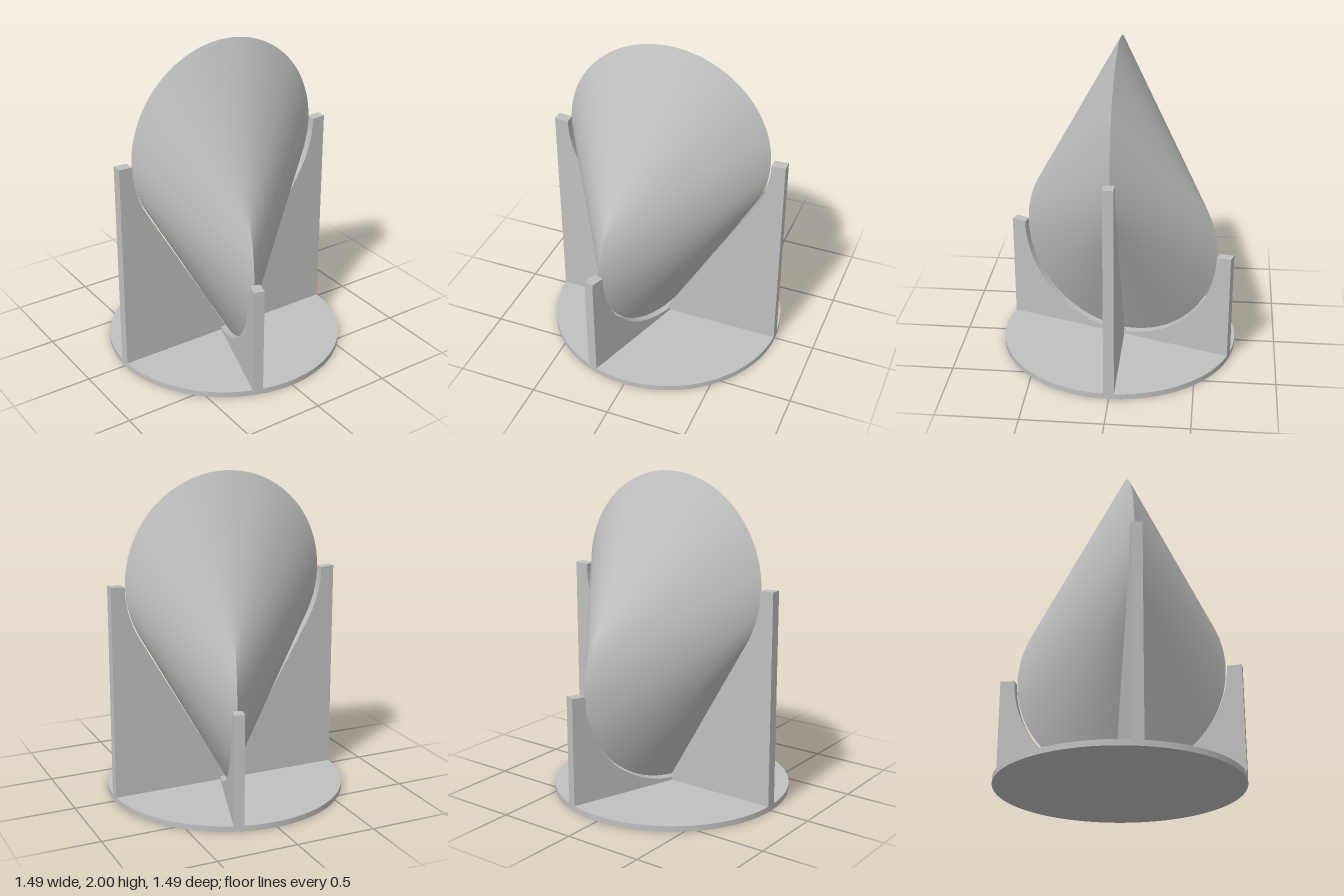
import * as THREE from 'three';

const R = 0.645;              // radius of both generating circles
const YA = 1.355, YB = 0.71;  // heights of their centres
const TWIST = THREE.MathUtils.degToRad(72); // angle between the circle planes
const BASE_R = 0.745, BASE_H = 0.035, WALL = 0.064;

// Ruled skin joining the two circles: each ruling links points whose tangents meet on the axis.
function twistedSolid(steps = 240) {
  const positions = [], index = [];
  for (let i = 0; i < steps; i++) {
    const u = (i / steps) * Math.PI * 2;
    const t = THREE.MathUtils.degToRad(90 - 120 * Math.cos(u));
    const k = Math.sin(t);
    const sinS = k / (1 + k);
    const cosS = Math.sign(Math.sin(u)) * Math.sqrt(Math.max(0, 1 - sinS * sinS));
    positions.push(R * Math.cos(t), YA + R * k, 0);
    positions.push(-R * cosS * Math.cos(TWIST), YB + R * sinS, R * cosS * Math.sin(TWIST));
    const a = 2 * i, b = a + 1, a2 = (2 * (i + 1)) % (2 * steps), b2 = a2 + 1;
    index.push(a, a2, b, b, a2, b2);
  }
  const g = new THREE.BufferGeometry();
  g.setAttribute('position', new THREE.Float32BufferAttribute(positions, 3));
  g.setIndex(index);
  g.computeVertexNormals();
  return g;
}

// Upright cradle plate: a rectangle whose top is cut out along the given points, left to right.
function cradle(top, cut) {
  const s = new THREE.Shape();
  s.moveTo(-BASE_R, BASE_H);
  s.lineTo(BASE_R, BASE_H);
  s.lineTo(BASE_R, top);
  [...cut].reverse().forEach(([x, y]) => s.lineTo(x, y));
  s.lineTo(-BASE_R, top);
  s.closePath();
  const g = new THREE.ExtrudeGeometry(s, { depth: WALL, bevelEnabled: false });
  g.translate(0, 0, -WALL / 2);
  return g;
}

// Points on an arc, angles in degrees.
function arc(r, cy, from, to, n) {
  return Array.from({ length: n + 1 }, (_, i) => {
    const a = THREE.MathUtils.degToRad(from + ((to - from) * i) / n);
    return [r * Math.cos(a), cy + r * Math.sin(a)];
  });
}

export function createModel() {
  const group = new THREE.Group();
  const grey = new THREE.MeshStandardMaterial({ color: 0xc0c0c0 });
  grey.name = 'light grey';
  const add = (name, geometry) => {
    const mesh = new THREE.Mesh(geometry, grey);
    mesh.name = name;
    group.add(mesh);
    return mesh;
  };

  // Round base
  add('base', new THREE.CylinderGeometry(BASE_R, BASE_R, BASE_H, 128).translate(0, BASE_H / 2, 0));

  // Twisted two-circle solid
  add('twistedSolid', twistedSolid());

  // Tall plate: short arcs running into a V-shaped cut
  const gapA = 0.013;
  add('tallCradle', cradle(1.36, [
    ...arc(R + gapA, YA, 180, 210, 12),
    [0, YB - R - 2 * gapA],
    ...arc(R + gapA, YA, -30, 0, 12),
  ]));

  // Low plate: half-round cut
  const low = add('lowCradle', cradle(0.715, arc(R + 0.01, YB, 180, 360, 64)));
  low.rotation.y = TWIST;

  return group;
}
